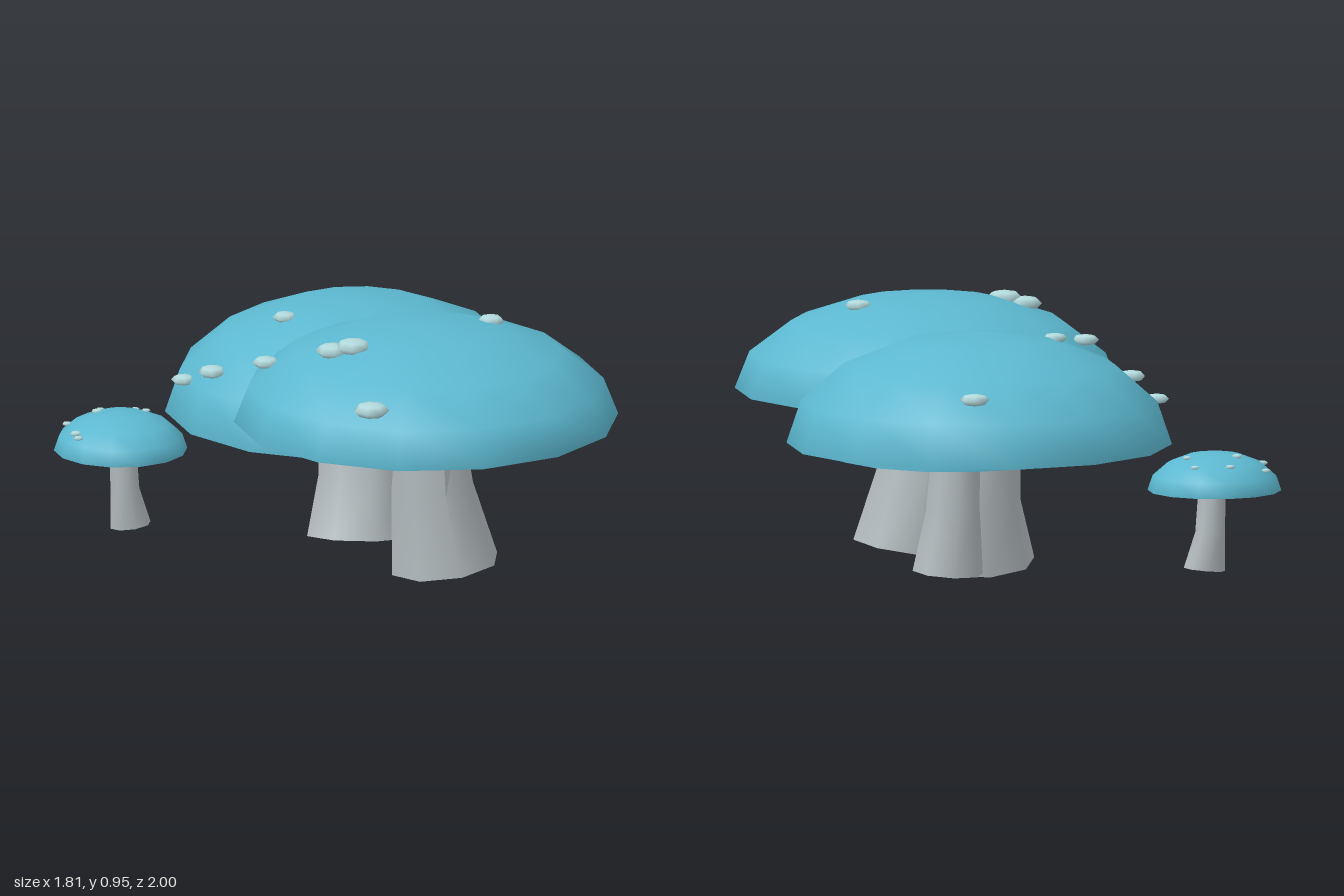
import * as THREE from 'three';
import { toCreasedNormals } from 'three/addons/utils/BufferGeometryUtils.js';

const mat = (name, color) => new THREE.MeshStandardMaterial({ name, color });

export function createModel() {
  const capBlue = mat('capBlue', 0x5cb8d0);
  const stemGrey = mat('stemGrey', 0xb2babd);
  const spotPale = mat('spotPale', 0xb2d9dc);
  const SIDES = 14;

  const add = (parent, name, geometry, material) => {
    const mesh = new THREE.Mesh(geometry, material);
    mesh.name = name;
    parent.add(mesh);
    return mesh;
  };

  // Bent, tapered stem: rings run from top to bottom as [x, y, z, radius x, radius z]
  const stemGeometry = (rings, tiltX, tiltZ) => {
    const geo = new THREE.CylinderGeometry(1, 1, 1, 8, rings.length - 1);
    const p = geo.attributes.position;
    for (let i = 0; i < p.count; i++) {
      const k = Math.round((0.5 - p.getY(i)) * (rings.length - 1));
      const [x, y, z, rx, rz] = rings[k];
      const dx = p.getX(i) * rx, dz = p.getZ(i) * rz;
      const tilt = k === rings.length - 1 ? dx * tiltX + dz * tiltZ : 0;
      p.setXYZ(i, x + dx, y + tilt, z + dz);
    }
    return toCreasedNormals(geo, 0.9);
  };

  const mushrooms = [
    { name: 'frontMushroom', x: 0.22, y: 0.6, z: 0.295, r: 0.7, h: 0.352,
      stem: [[0.235, 0.63, 0.28, 0.12, 0.16], [0.255, 0.33, 0.26, 0.155, 0.165], [0.30, 0.032, 0.265, 0.2, 0.215]],
      tilt: [0.13, 0.03],
      spots: [[0.49, 0.22, 0.05], [-0.32, 0.075, 0.05], [-0.15, 0.34, 0.062], [-0.08, 0.37, 0.066], [-0.135, 0.765, 0.066]] },
    { name: 'rearMushroom', x: 0.145, y: 0.48, z: -0.3, r: 0.7, h: 0.41,
      stem: [[0.13, 0.52, -0.28, 0.14, 0.14], [0.14, 0.26, -0.24, 0.16, 0.165], [0.12, 0.03, -0.19, 0.2, 0.2]],
      tilt: [-0.06, 0.15],
      spots: [[0.27, -0.855, 0.055], [-0.14, -0.27, 0.045], [-0.505, -0.335, 0.045], [-0.44, -0.19, 0.052]] },
    { name: 'hiddenMushroom', x: 0.26, y: 0.45, z: -0.39, r: 0.43, h: 0.22,
      stem: [[0.25, 0.49, -0.4, 0.09, 0.085], [0.26, 0.25, -0.39, 0.1, 0.1], [0.28, 0.025, -0.395, 0.13, 0.125]],
      tilt: [0.06, 0.05], spots: [] },
    { name: 'smallMushroom', x: -0.675, y: 0.322, z: -0.555, r: 0.243, h: 0.142,
      stem: [[-0.668, 0.345, -0.55, 0.05, 0.05], [-0.66, 0.17, -0.55, 0.055, 0.053], [-0.638, 0.032, -0.553, 0.076, 0.06]],
      tilt: [0.1, 0],
      spots: [[-0.845, -0.66, 0.018], [-0.702, -0.715, 0.018], [-0.577, -0.69, 0.017], [-0.567, -0.592, 0.017],
        [-0.745, -0.62, 0.02], [-0.86, -0.507, 0.022], [-0.86, -0.475, 0.018]] },
  ];

  const model = new THREE.Group();
  model.name = 'mushroomCluster';
  for (const m of mushrooms) {
    const group = new THREE.Group();
    group.name = m.name;
    model.add(group);

    // Flattened dome, with a corner of the rim pointing to the front
    const dome = new THREE.SphereGeometry(1, SIDES, 4, Math.PI / 2, Math.PI * 2, 0, Math.PI / 2);
    dome.scale(m.r, m.h, m.r);
    add(group, 'cap', dome, capBlue).position.set(m.x, m.y, m.z);

    // Shallow hollow underneath
    const gills = new THREE.ConeGeometry(m.r, m.r * 0.04, SIDES, 1, true);
    gills.translate(0, m.r * 0.02, 0);
    gills.index.array.reverse();
    const under = gills.toNonIndexed();
    under.computeVertexNormals();
    add(group, 'capUnderside', under, stemGrey).position.set(m.x, m.y, m.z);

    add(group, 'stem', stemGeometry(m.stem, ...m.tilt), stemGrey);

    // Flattened warts resting on the dome
    m.spots.forEach(([x, z, r], i) => {
      const d = Math.hypot(x - m.x, z - m.z) / m.r;
      const y = m.y + m.h * Math.sqrt(Math.max(0, 1 - d * d));
      const spot = add(group, 'capSpot', new THREE.SphereGeometry(1, 7, 4), spotPale);
      spot.position.set(x, y, z);
      spot.scale.set(r, r * 0.42, r);
      spot.rotation.y = i * 0.7;
    });
  }
  return model;
}
